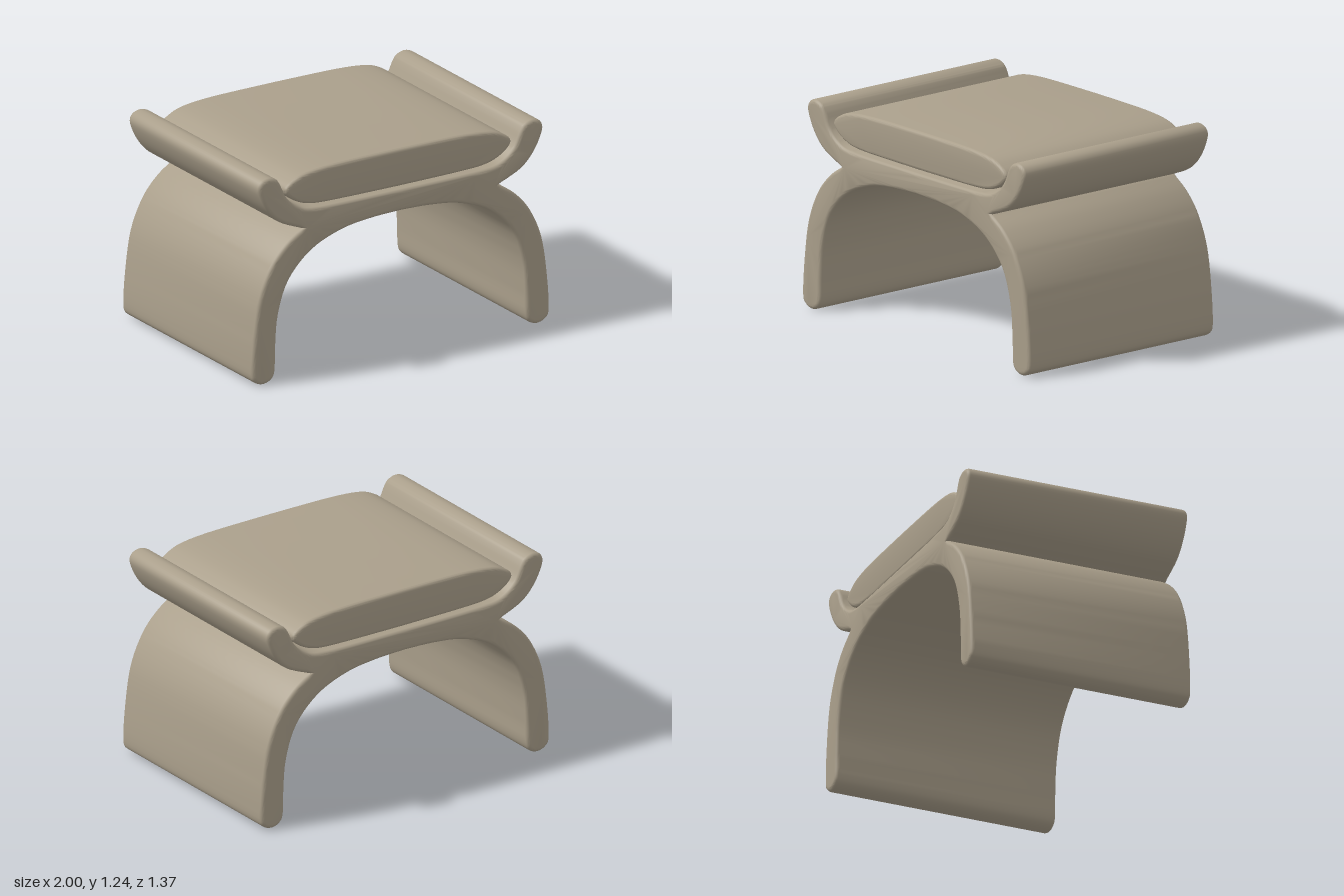
import * as THREE from 'three';
import { mergeVertices, toCreasedNormals } from 'three/addons/utils/BufferGeometryUtils.js';

// Smooth run through a few [x, y] points
function run(points, perSpan = 5) {
  const curve = new THREE.SplineCurve(points.map(([x, y]) => new THREE.Vector2(x, y)));
  return curve.getPoints((points.length - 1) * perSpan);
}

// Closed symmetric outline from right-half runs (bottom centre up to top centre)
function mirroredShape(...runs) {
  const right = runs.flatMap((r, i) => (i ? r.slice(1) : r));
  const left = right.slice(1, -1).reverse().map((p) => new THREE.Vector2(-p.x, p.y));
  return new THREE.Shape([...right, ...left]);
}

// Extrude along z with softly rounded front and back edges
function roundedExtrude(shape, halfDepth, radius) {
  const geo = new THREE.ExtrudeGeometry(shape, {
    depth: 2 * (halfDepth - radius),
    bevelEnabled: true,
    bevelThickness: radius,
    bevelSize: radius,
    bevelOffset: -radius,
    bevelSegments: 5,
  });
  geo.translate(0, 0, -(halfDepth - radius));
  geo.deleteAttribute('uv');
  geo.deleteAttribute('normal');
  return toCreasedNormals(mergeVertices(geo, 1e-5), 0.6);
}

export function createModel() {
  const group = new THREE.Group();
  group.name = 'stool';
  const taupe = new THREE.MeshStandardMaterial({ color: 0xaa9f8b });
  taupe.name = 'taupe';

  const add = (name, geometry) => {
    const mesh = new THREE.Mesh(geometry, taupe);
    mesh.name = name;
    group.add(mesh);
  };

  // Underside of the arch, rounded foot, outside of the leg
  const legRun = run([
    [0, 0.865], [0.2, 0.857], [0.4, 0.828], [0.6, 0.745], [0.75, 0.595], [0.82, 0.4],
    [0.838, 0.2], [0.842, 0.07], [0.866, 0.02], [0.92, 0], [0.975, 0.02], [1, 0.075],
    [0.988, 0.28], [0.95, 0.52], [0.87, 0.7], [0.77, 0.815], [0.66, 0.889],
  ]);
  // Upturned arm and top of the seat
  const armRun = run([
    [0.66, 0.889], [0.81, 0.955], [0.9, 1.045], [0.955, 1.16], [0.942, 1.216], [0.888, 1.237],
    [0.835, 1.22], [0.807, 1.185], [0.76, 1.092], [0.69, 1.032], [0.6, 1.003], [0.4, 0.996], [0, 0.995],
  ]);
  add('frame', roundedExtrude(mirroredShape(legRun, armRun), 0.685, 0.025));

  // Pillow-shaped seat pad
  const padRun = run([
    [0, 1.003], [0.4, 1.006], [0.58, 1.015], [0.68, 1.047], [0.745, 1.095],
    [0.757, 1.135], [0.715, 1.172], [0.62, 1.208], [0.42, 1.226], [0, 1.23],
  ]);
  add('cushion', roundedExtrude(mirroredShape(padRun), 0.658, 0.022));

  return group;
}
